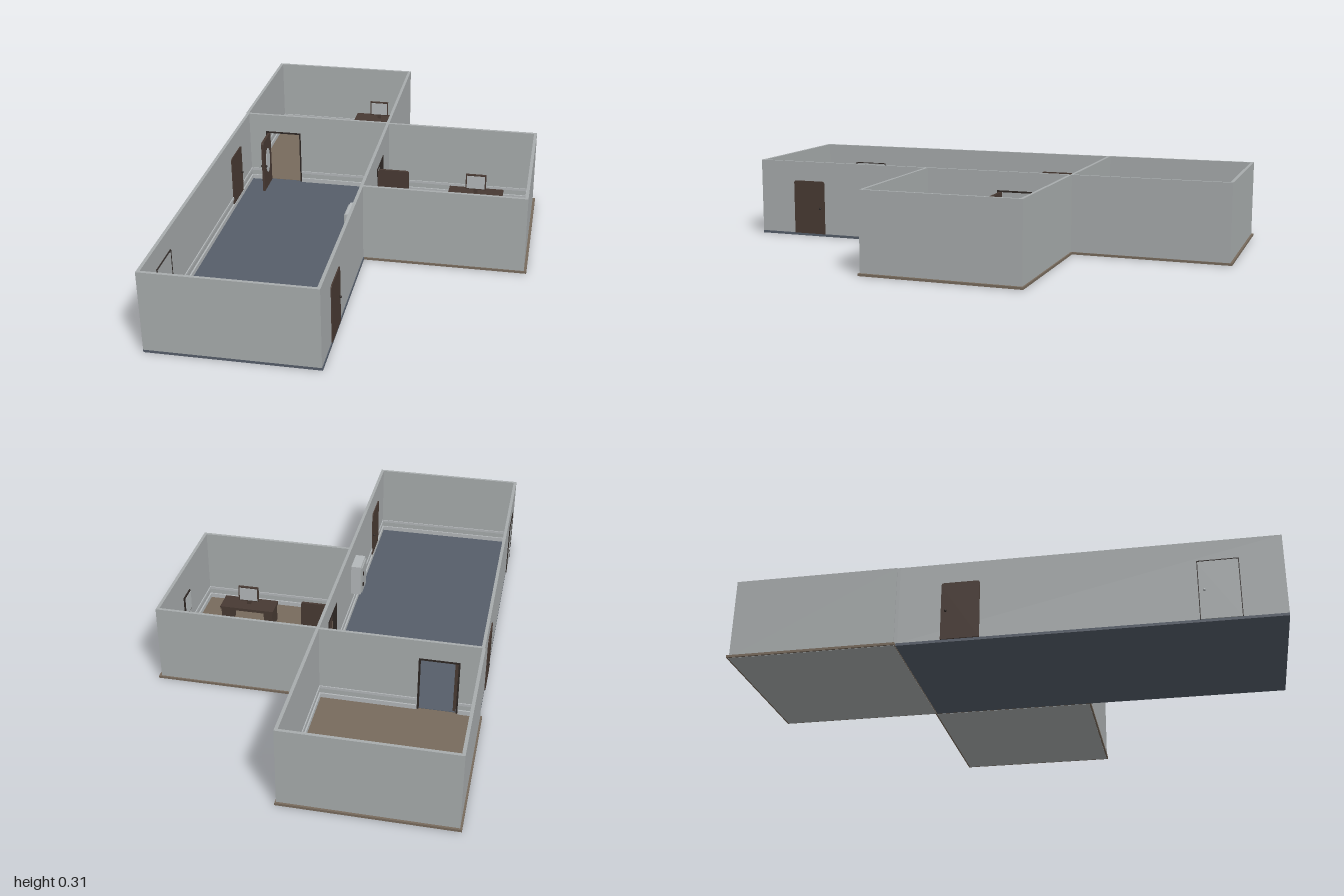
import * as THREE from 'three';

const mat = (name, color) => {
  const m = new THREE.MeshStandardMaterial({ color });
  m.name = name;
  return m;
};

export function createModel() {
  const model = new THREE.Group();
  model.name = 'building';
  const wallGrey = mat('wall grey', 0xa8acad);
  const floorBrown = mat('floor brown', 0x786b5d);
  const floorBlue = mat('floor blue', 0x565e6a);
  const wood = mat('dark wood', 0x483a33);
  const frameDark = mat('dark frame', 0x2e2724);
  const metal = mat('light metal', 0xb4b8ba);

  // Box given by its limits on each axis
  const box = (name, m, x1, x2, y1, y2, z1, z2, parent = model) => {
    const mesh = new THREE.Mesh(new THREE.BoxGeometry(x2 - x1, y2 - y1, z2 - z1), m);
    mesh.position.set((x1 + x2) / 2, (y1 + y2) / 2, (z1 + z2) / 2);
    mesh.name = name;
    parent.add(mesh);
    return mesh;
  };

  const H = 0.315, F = 0.01, T = 0.012, DOOR = 0.237;
  const hall = { name: 'hall', x1: -0.622, x2: 0, z1: -0.372, z2: 0.995 };
  const back = { name: 'backRoom', x1: -0.625, x2: 0, z1: -0.992, z2: -0.372 };
  const side = { name: 'sideRoom', x1: 0, x2: 0.62, z1: -0.374, z2: 0.242 };

  // Floors: the two small rooms have a wider brown slab with a grey underside
  box('hallFloor', floorBlue, hall.x1, hall.x2 + 0.003, 0, F, hall.z1, hall.z2);
  box('backRoomFloor', floorBrown, -0.632, 0.004, 0.001, F, -1, -0.374);
  box('sideRoomFloor', floorBrown, 0.004, 0.63, 0.001, F, -0.38, 0.246);
  box('backRoomUnderside', wallGrey, -0.626, 0, 0, 0.002, -0.994, -0.376);
  box('sideRoomUnderside', wallGrey, 0.008, 0.624, 0, 0.002, -0.374, 0.24);

  // Walls run along x or z; an opening leaves a doorway with a lintel
  const wall = (name, axis, at, a, b, opening) => {
    const piece = (p, q, y1, y2) => axis === 'x'
      ? box(name, wallGrey, p, q, y1, y2, at - T / 2, at + T / 2)
      : box(name, wallGrey, at - T / 2, at + T / 2, y1, y2, p, q);
    if (!opening) return piece(a, b, F, H);
    piece(a, opening[0], F, H);
    piece(opening[1], b, F, H);
    piece(opening[0], opening[1], DOOR, H);
  };
  const h = T / 2;
  wall('hallFrontWall', 'x', hall.z2 - h, hall.x1 + T, -T);
  wall('hallOuterWall', 'z', hall.x1 + h, hall.z1 + h, hall.z2);
  wall('hallInnerWall', 'z', -h, hall.z1 + h, hall.z2, [-0.21, -0.07]);
  wall('dividingWall', 'x', hall.z1, hall.x1, 0, [-0.535, -0.39]);
  wall('backRoomBackWall', 'x', back.z1 + h, back.x1, 0);
  wall('backRoomOuterWall', 'z', back.x1 + h, back.z1 + T, back.z2 - h);
  wall('backRoomInnerWall', 'z', -h, back.z1 + T, back.z2 - h);
  wall('sideRoomBackWall', 'x', side.z1 + h, 0, side.x2);
  wall('sideRoomEndWall', 'z', side.x2 - h, side.z1 + T, side.z2 - T);
  wall('sideRoomFrontWall', 'x', side.z2 - h, 0, side.x2);

  // Skirting and rail round each room, left out at the doorways
  const doorways = { hall: { e: [-0.215, -0.065], n: [-0.54, -0.385] },
    backRoom: { s: [-0.54, -0.385] }, sideRoom: { w: [-0.215, -0.065] } };
  for (const r of [hall, back, side]) {
    const x1 = r === side ? r.x1 : r.x1 + T, x2 = r.x2 - T;
    const z1 = r === hall ? r.z1 + h : r.z1 + T, z2 = r === back ? r.z2 - h : r.z2 - T;
    const gaps = doorways[r.name];
    const runs = (a, b, gap) => (gap ? [[a, gap[0]], [gap[1], b]] : [[a, b]]);
    for (const [y1, y2, d] of [[F, 0.028, 0.006], [0.05, 0.06, 0.004]]) {
      for (const [p, q] of runs(x1, x2, gaps.n)) box('trim', metal, p, q, y1, y2, z1, z1 + d);
      for (const [p, q] of runs(x1, x2, gaps.s)) box('trim', metal, p, q, y1, y2, z2 - d, z2);
      for (const [p, q] of runs(z1, z2, gaps.w)) box('trim', metal, x1, x1 + d, y1, y2, p, q);
      for (const [p, q] of runs(z1, z2, gaps.e)) box('trim', metal, x2 - d, x2, y1, y2, p, q);
    }
  }

  // Door leaf in the xy plane, hinged at its local origin
  const doorLeaf = (name, m, width, thick) => {
    const g = new THREE.Group();
    g.name = name;
    const top = DOOR - 0.003, r = 0.01;
    const s = new THREE.Shape();
    s.moveTo(0, F);
    s.lineTo(width, F);
    s.lineTo(width, top - r);
    s.quadraticCurveTo(width, top, width - r, top);
    s.lineTo(r, top);
    s.quadraticCurveTo(0, top, 0, top - r);
    const geo = new THREE.ExtrudeGeometry(s, { depth: thick, bevelEnabled: false });
    geo.translate(0, 0, -thick / 2);
    const leaf = new THREE.Mesh(geo, m);
    leaf.name = 'leaf';
    g.add(leaf);
    for (const k of [-1, 1]) {
      const knob = new THREE.Mesh(new THREE.SphereGeometry(0.005, 10, 8), m === wood ? frameDark : metal);
      knob.position.set(width - 0.018, 0.12, k * (thick / 2 + 0.004));
      knob.name = 'knob';
      g.add(knob);
    }
    model.add(g);
    return g;
  };
  const place = (g, x, z, angle) => {
    g.position.set(x, 0, z);
    g.rotation.y = angle;
    return g;
  };

  // Closed doors set through the long walls
  const N = Math.PI / 2;
  place(doorLeaf('frontDoor', wood, 0.14, 0.021), -h, 0.84, N);
  place(doorLeaf('outerDoor', wood, 0.14, 0.021), hall.x1 + h, -0.07, N);
  place(doorLeaf('greyDoor', wallGrey, 0.14, 0.018), hall.x1 + h, 0.84, N);
  // Thin outline of the grey door
  for (const x of [hall.x1 - 0.0025, hall.x1 + T + 0.0025]) {
    for (const z of [0.698, 0.841]) box('greyDoorFrame', frameDark, x - 0.002, x + 0.002, F, DOOR, z - 0.0015, z + 0.0015);
    box('greyDoorFrame', frameDark, x - 0.002, x + 0.002, DOOR - 0.003, DOOR, 0.698, 0.841);
  }

  // Open doors, one with an oval pane
  place(doorLeaf('sideRoomDoor', wood, 0.125, 0.01), 0.002, -0.084, 0);
  const ovalDoor = place(doorLeaf('backRoomDoor', wood, 0.12, 0.01), -0.525, -0.367, -N);
  for (const k of [-1, 1]) {
    const pane = new THREE.Mesh(new THREE.CylinderGeometry(1, 1, 0.003, 24), metal);
    pane.rotation.x = N;
    pane.scale.set(0.03, 1, 0.055);
    pane.position.set(0.06, 0.13, k * 0.0055);
    pane.name = 'ovalPane';
    ovalDoor.add(pane);
  }

  // Dark frames round the two doorways
  for (const x of [-0.536, -0.389]) box('doorFrame', frameDark, x - 0.003, x + 0.003, F, DOOR, -0.38, -0.364);
  box('doorFrame', frameDark, -0.539, -0.386, DOOR - 0.005, DOOR + 0.002, -0.38, -0.364);
  for (const z of [-0.21, -0.07]) box('doorFrame', frameDark, -0.014, 0.002, F, DOOR, z - 0.003, z + 0.003);
  box('doorFrame', frameDark, -0.014, 0.002, DOOR - 0.005, DOOR + 0.002, -0.213, -0.067);

  // Desk with a screen facing along z
  const desk = (x, z, facing) => {
    const g = new THREE.Group();
    g.name = 'desk';
    g.position.set(x, 0, z);
    box('deskTop', wood, -0.112, 0.112, 0.085, 0.097, -0.044, 0.044, g);
    for (const k of [-1, 1]) box('deskSide', wood, k * 0.09 - 0.018, k * 0.09 + 0.018, F, 0.085, -0.04, 0.04, g);
    box('deskBack', wood, -0.072, 0.072, 0.04, 0.085, -facing * 0.035 - 0.003, -facing * 0.035 + 0.003, g);
    box('screenStand', wood, -0.008, 0.008, 0.097, 0.12, -0.004, 0.004, g);
    box('screenCase', wood, -0.042, 0.042, 0.112, 0.178, -0.005, 0.005, g);
    box('screenFace', metal, -0.037, 0.037, 0.117, 0.173, facing * 0.0055 - 0.001, facing * 0.0055 + 0.001, g);
    model.add(g);
  };
  desk(0.388, -0.217, 1);
  desk(0.388, 0.072, -1);
  desk(-0.138, -0.922, 1);

  // Wall cabinet in the hall
  box('cabinetBody', metal, -0.052, -T, 0.105, 0.235, 0.225, 0.325);
  box('cabinetDoor', wallGrey, -0.058, -0.052, 0.112, 0.228, 0.232, 0.318);
  for (const y of [0.14, 0.19]) box('cabinetHandle', frameDark, -0.062, -0.058, y, y + 0.015, 0.24, 0.246);

  // Notice panel on the side room end wall
  box('panelFrame', frameDark, 0.602, side.x2 - T, 0.112, 0.2, -0.102, -0.03);
  box('panelFace', metal, 0.6, 0.603, 0.117, 0.195, -0.097, -0.035);

  return model;
}
